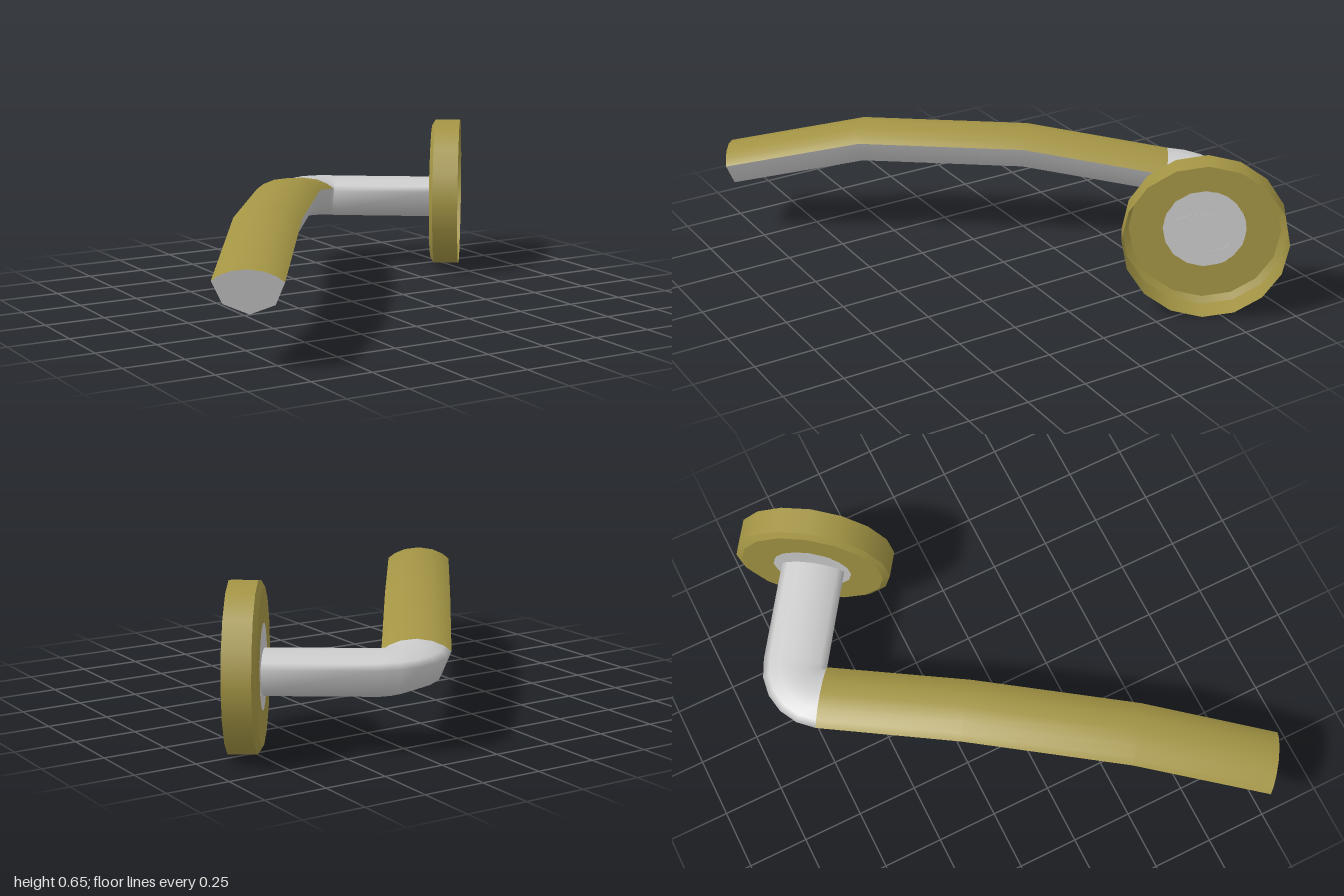
import * as THREE from 'three';

const grey = new THREE.MeshStandardMaterial({ color: 0xcccccc, side: THREE.DoubleSide });
const brass = new THREE.MeshStandardMaterial({ color: 0xa39444, side: THREE.DoubleSide });

// Cross-section of the grip: [outward, up], counter-clockwise
const HALF = 0.132;
const topProfile = [[HALF, 0.042], [0.105, 0.063], [0.06, 0.082], [0, 0.09], [-0.06, 0.082], [-0.105, 0.063], [-HALF, 0.042]];
const bottomProfile = [[-HALF, 0.042], [-0.095, -0.05], [0, -0.09], [0.095, -0.05], [HALF, 0.042]];
const fullProfile = [...topProfile, ...bottomProfile.slice(1, -1)];

// Places a profile at a station {x, y, z, turn, pitch} along the handle
function ring(profile, { x, y, z, turn = 0, pitch = 0 }) {
  const fx = Math.cos(turn), fz = Math.sin(turn);
  return profile.map(([s, h]) => [
    x + fz * s - fx * Math.sin(pitch) * h,
    y + Math.cos(pitch) * h,
    z - fx * s - fz * Math.sin(pitch) * h,
  ]);
}

// Skins a profile through all stations
function sweep(profile, stations, closed) {
  const n = profile.length, index = [];
  const points = stations.flatMap((s) => ring(profile, s));
  for (let i = 0; i < stations.length - 1; i++) {
    for (let j = 0; j < (closed ? n : n - 1); j++) {
      const k = (j + 1) % n;
      const a = i * n + j, b = i * n + k, c = a + n, d = b + n;
      index.push(a, b, c, b, d, c);
    }
  }
  return toGeometry(points, index);
}

// Flat end facing backwards along the path
function cap(profile, station) {
  const index = [];
  for (let j = 1; j < profile.length - 1; j++) index.push(0, j + 1, j);
  return toGeometry(ring(profile, station), index);
}

function toGeometry(points, index) {
  const g = new THREE.BufferGeometry();
  g.setAttribute('position', new THREE.Float32BufferAttribute(points.flat(), 3));
  g.setIndex(index);
  g.computeVertexNormals();
  return g;
}

export function createModel() {
  const model = new THREE.Group();
  model.name = 'doorHandle';
  // Local +x runs along the lever to the bend, local +z points at the door
  const handle = new THREE.Group();
  handle.name = 'handle';
  handle.rotation.y = THREE.MathUtils.degToRad(55);
  model.add(handle);

  const add = (name, geometry, material) => {
    const mesh = new THREE.Mesh(geometry, material);
    mesh.name = name;
    handle.add(mesh);
    return mesh;
  };

  // Lever: gently arched, brass on top and grey underneath
  const z = -0.27;
  const lever = [
    { x: -1.17, y: 0.3, z, pitch: 0.26 },
    { x: -0.61, y: 0.42, z, pitch: 0.1 },
    { x: 0.07, y: 0.412, z, pitch: -0.08 },
    { x: 0.67, y: 0.315, z, pitch: -0.04 },
  ];
  add('leverTop', sweep(topProfile, lever), brass);
  add('leverUnderside', sweep(bottomProfile, lever), grey);
  add('leverTip', cap(fullProfile, lever[0]), grey);

  // Rounded corner pivoting on its inner edge, then the straight neck
  const neck = [];
  const steps = 5;
  for (let i = 0; i <= steps; i++) {
    const t = i / steps, turn = t * Math.PI / 2;
    neck.push({
      x: 0.67 + 0.135 * Math.sin(turn),
      y: 0.315 - 0.012 * t,
      z: -0.135 - 0.135 * Math.cos(turn),
      turn,
      pitch: -0.04 * (1 - t),
    });
  }
  neck.push({ x: 0.81, y: 0.303, z: 0.296, turn: Math.PI / 2 });
  add('neck', sweep(fullProfile, neck, true), grey);

  // Rosette: thin shallow cup open towards the door, with a bevelled rim
  const sides = 16, radius = 0.327;
  const rosette = new THREE.Group();
  rosette.name = 'rosette';
  rosette.position.set(0.815, radius, 0.295);
  rosette.rotation.x = Math.PI / 2;
  handle.add(rosette);
  const sections = [
    ['rosetteFace', 0.165, 0, 0.3, 0],
    ['rosetteBevel', 0.3, 0, radius, 0.016],
    ['rosetteWall', radius, 0.016, radius, 0.125],
  ];
  for (const [name, r0, y0, r1, y1] of sections) {
    const profile = [new THREE.Vector2(r0, y0), new THREE.Vector2(r1, y1)];
    const mesh = new THREE.Mesh(new THREE.LatheGeometry(profile, sides), brass);
    mesh.name = name;
    rosette.add(mesh);
  }

  // Round plate closing the middle of the rosette
  const plate = add('mountingPlate', new THREE.CircleGeometry(0.166, 24), grey);
  plate.position.set(0.815, radius, 0.295);

  return model;
}
